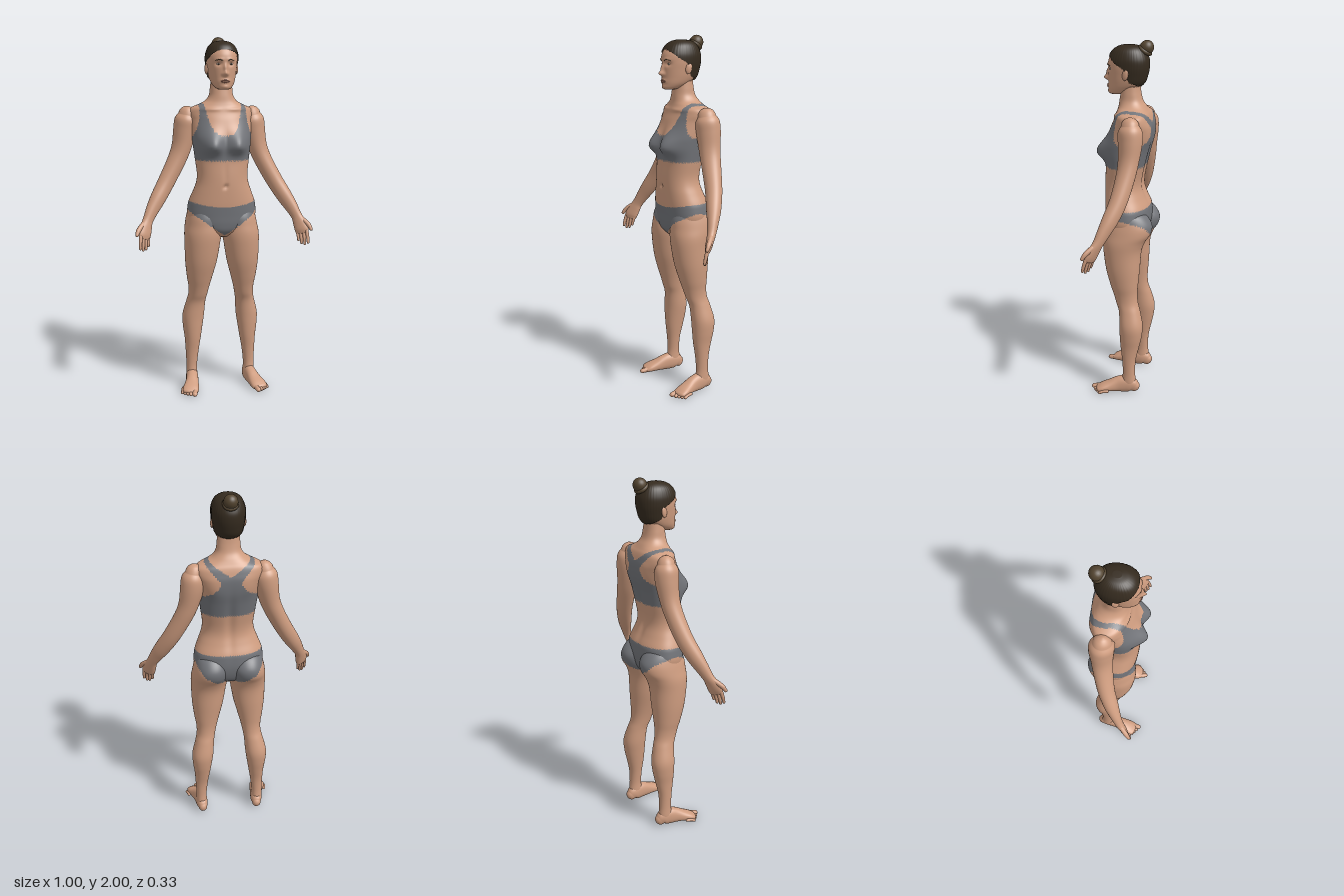
import * as THREE from 'three';

const mat = (name, color) => Object.assign(new THREE.MeshStandardMaterial({ color }), { name });
const V = (x, y, z) => new THREE.Vector3(x, y, z);
const X = V(1, 0, 0), Z = V(0, 0, 1);
const gauss = (x, y, cx, cy, sx, sy) => Math.exp(-(((x - cx) / sx) ** 2) - ((y - cy) / sy) ** 2);
const clamp01 = (v) => Math.min(1, Math.max(0, v));

// Catmull-Rom interpolation of rows of numbers
function smooth(keys, sub) {
  const out = [], last = keys.length - 1;
  for (let i = 0; i < last; i++) {
    const [a, b, c, d] = [keys[Math.max(0, i - 1)], keys[i], keys[i + 1], keys[Math.min(last, i + 2)]];
    for (let k = 0; k < sub; k++) {
      const t = k / sub;
      out.push(b.map((v, j) => v + 0.5 * t * (c[j] - a[j]
        + t * (2 * a[j] - 5 * v + 4 * c[j] - d[j] + t * (3 * (v - c[j]) + d[j] - a[j])))));
    }
  }
  out.push(keys[last]);
  return out;
}

// One superellipse cross-section
function ring(c, s, f, rs, rf, n, segs) {
  const pw = (v) => Math.sign(v) * Math.abs(v) ** (2 / n);
  return Array.from({ length: segs }, (_, i) => {
    const a = (i / segs) * Math.PI * 2;
    return c.clone().addScaledVector(s, rs * pw(Math.cos(a))).addScaledVector(f, rf * pw(Math.sin(a)));
  });
}

// Closed smooth skin over a list of rings
function loft(rings, deform) {
  const n = rings[0].length, pos = [], idx = [];
  const mid = (r) => r.reduce((m, p) => m.add(p), V(0, 0, 0)).divideScalar(n);
  const pts = [...rings.flat(), mid(rings[0]), mid(rings[rings.length - 1])];
  for (const p of pts) { if (deform) deform(p); pos.push(p.x, p.y, p.z); }
  const end = rings.length * n;
  for (let j = 0; j < n; j++) {
    const k = (j + 1) % n;
    for (let i = 0; i < rings.length - 1; i++) {
      const a = i * n + j, b = i * n + k;
      idx.push(a, a + n, b, b, a + n, b + n);
    }
    idx.push(end, j, k, end + 1, end - n + k, end - n + j);
  }
  const g = new THREE.BufferGeometry();
  g.setAttribute('position', new THREE.Float32BufferAttribute(pos, 3));
  g.setIndex(idx);
  g.computeVertexNormals();
  return g;
}

// Upright body section rows: y, centre x, half width, front z, back z
const upright = (keys, sub, n, segs, grow = 0) => smooth(keys, sub).map(([y, x, w, zf, zb]) =>
  ring(V(x, y, (zf + zb) / 2), X, Z, w + grow, (zf - zb) / 2 + grow, n, segs));

// Rounded limb along a path, rows: x, y, z, half width along ref, half thickness
function limb(keys, { sub = 5, ref = X, n = 2, segs = 16, deform } = {}) {
  const rows = smooth(keys, sub), rings = [];
  rows.forEach((r, i) => {
    const a = rows[Math.max(0, i - 1)], b = rows[Math.min(rows.length - 1, i + 1)];
    const t = V(b[0] - a[0], b[1] - a[1], b[2] - a[2]).normalize();
    const s = ref.clone().addScaledVector(t, -t.dot(ref)).normalize();
    const f = s.clone().cross(t), c = V(r[0], r[1], r[2]), tip = Math.min(r[3], r[4]);
    const put = (ang, dir) => rings.push(ring(c.clone().addScaledVector(t, dir * tip * Math.sin(ang)),
      s, f, r[3] * Math.cos(ang), r[4] * Math.cos(ang), n, segs));
    if (i === 0) [1.45, 1.1, 0.75, 0.35].forEach((a) => put(a, -1));
    put(0, 0);
    if (i === rows.length - 1) [0.35, 0.75, 1.1, 1.45].forEach((a) => put(a, 1));
  });
  return loft(rings, deform);
}

// Sort triangles by a rule on their centre: [rest, matching]
function sortFaces(g, rule) {
  const p = g.attributes.position, ix = g.index.array, out = [[], []], c = V(0, 0, 0), q = V(0, 0, 0);
  for (let i = 0; i < ix.length; i += 3) {
    c.set(0, 0, 0);
    for (let k = 0; k < 3; k++) c.add(q.fromBufferAttribute(p, ix[i + k]));
    out[rule(c.divideScalar(3)) ? 1 : 0].push(ix[i], ix[i + 1], ix[i + 2]);
  }
  return out;
}
function paint(g, rule) {
  const [a, b] = sortFaces(g, rule);
  g.setIndex([...a, ...b]);
  g.addGroup(0, a.length, 0);
  g.addGroup(a.length, b.length, 1);
  return g;
}
function mirrored(g) {
  const m = g.clone().scale(-1, 1, 1), ix = m.index.array;
  for (let i = 0; i < ix.length; i += 3) [ix[i], ix[i + 1]] = [ix[i + 1], ix[i]];
  m.computeVertexNormals();
  return m;
}

// Sports top with racer back, and briefs
function isCloth({ x, y, z }) {
  const ax = Math.abs(x);
  if (y > 1.325 && y < 1.65) {
    if (z > -0.045) return y < 1.465 + 0.17 * (ax / 0.105) ** 3.5
      && ax < (y < 1.45 ? 1 : 0.13 + 0.04 * clamp01((1.6 - y) / 0.15) ** 2);
    const outer = y < 1.54 ? 0.055 + 10 * (1.54 - y) ** 2 : 0.055 + (y - 1.54) * 0.9;
    return y < 1.42 || (ax < outer && ax > (y - 1.565) * 1.5);
  }
  if (z > -0.02) return y < 1.07 + 0.8 * ax * ax && y > 0.905 + 0.72 * ax;
  return y < 1.098 && y > 0.915 + 3.4 * ax * ax;
}

function shapeTorso(p) {
  const { x, y } = p, ax = Math.abs(x);
  if (p.z > 0) {
    p.z += 0.055 * gauss(ax, y, 0.072, 1.405, 0.056, y < 1.405 ? 0.042 : 0.07);
    p.z -= 0.014 * gauss(x, y, 0, 1.185, 0.01, 0.011) + 0.003 * gauss(x, y, 0, 1.25, 0.012, 0.07);
    p.z += 0.006 * gauss(ax, y, 0.07, 1.605, 0.05, 0.01);
  } else {
    p.z += 0.01 * gauss(x, y, 0, 1.28, 0.024, 0.17);
    p.z -= 0.006 * gauss(ax, y, 0.09, 1.5, 0.04, 0.06);
  }
  p.z -= 0.65 * x * x * clamp01((y - 1.45) / 0.1);
}

function shapeFace(p) {
  if (p.z < 0.02) return;
  const { x, y } = p, ax = Math.abs(x);
  p.z += 0.025 * gauss(x, y, 0, 1.798, 0.012, 0.013) + 0.014 * gauss(x, y, 0, 1.825, 0.009, 0.024)
    + 0.006 * gauss(ax, y, 0.014, 1.795, 0.007, 0.008) + 0.008 * gauss(x, y, 0, 1.757, 0.022, 0.011)
    + 0.006 * gauss(x, y, 0, 1.727, 0.022, 0.013) + 0.005 * gauss(ax, y, 0.03, 1.872, 0.026, 0.01)
    - 0.011 * gauss(ax, y, 0.034, 1.85, 0.017, 0.012);
}

// Hairline height falls from forehead to temple, ear and nape
function isHair({ y, z }) {
  if (z > 0.05) return y > 1.885 + (z - 0.05);
  if (z > -0.01) return y > 1.85 + (z + 0.01) * 0.58;
  if (z > -0.03) return y > 1.785 + (z + 0.03) * 3.25;
  return y > 1.755 + Math.max(0, z + 0.09) * 0.5;
}

export function createModel() {
  const root = new THREE.Group();
  root.name = 'woman';
  const skin = mat('skin', 0xcf9d80), cloth = mat('grey cloth', 0x73757a), hair = mat('dark hair', 0x352b1f);
  const bunHair = mat('bun hair', 0x52432f), white = mat('eye white', 0xd8c8bc), lip = mat('lips', 0xb57c68);
  const add = (name, g, m) => {
    const mesh = new THREE.Mesh(g, m);
    mesh.name = name;
    root.add(mesh);
    return mesh;
  };
  const pair = (name, g, m) => { add(name + 'Left', g, m); add(name + 'Right', mirrored(g), m); };

  // Torso and neck
  const torso = [
    [0.89, 0.03, 0.03, -0.04], [0.9, 0.055, 0.06, -0.07], [0.93, 0.12, 0.09, -0.11], [0.97, 0.178, 0.1, -0.13],
    [1.02, 0.195, 0.104, -0.14], [1.07, 0.192, 0.108, -0.14], [1.1, 0.185, 0.11, -0.135],
    [1.15, 0.165, 0.112, -0.114], [1.2, 0.147, 0.113, -0.099], [1.25, 0.142, 0.112, -0.099],
    [1.32, 0.15, 0.108, -0.112], [1.4, 0.16, 0.105, -0.13], [1.47, 0.168, 0.098, -0.146],
    [1.54, 0.175, 0.078, -0.15], [1.58, 0.182, 0.062, -0.142], [1.61, 0.172, 0.052, -0.132],
    [1.63, 0.128, 0.045, -0.12], [1.65, 0.09, 0.04, -0.108], [1.68, 0.068, 0.036, -0.09],
    [1.72, 0.062, 0.03, -0.08], [1.76, 0.058, 0.025, -0.075],
  ].map(([y, ...r]) => [y, 0, ...r]);
  add('torso', paint(loft(upright(torso, 6, 2.25, 112), shapeTorso), isCloth), [skin, cloth]);

  // Legs with hips
  const leg = [
    [1.09, 0.1, 0.05, 0.03, -0.09], [1.06, 0.1, 0.08, 0.07, -0.135], [1.01, 0.1, 0.096, 0.094, -0.168],
    [0.96, 0.104, 0.102, 0.1, -0.163], [0.91, 0.108, 0.105, 0.104, -0.132], [0.85, 0.113, 0.1, 0.1, -0.112],
    [0.75, 0.12, 0.09, 0.085, -0.105], [0.66, 0.127, 0.073, 0.06, -0.098], [0.6, 0.13, 0.06, 0.04, -0.095],
    [0.55, 0.135, 0.054, 0.024, -0.1], [0.5, 0.145, 0.055, 0.006, -0.115], [0.42, 0.158, 0.062, 0, -0.133],
    [0.35, 0.162, 0.056, -0.003, -0.128], [0.28, 0.163, 0.046, -0.008, -0.113], [0.2, 0.167, 0.037, -0.018, -0.096],
    [0.12, 0.17, 0.031, -0.022, -0.093], [0.06, 0.17, 0.032, -0.015, -0.098], [0.03, 0.17, 0.026, -0.02, -0.09],
  ].reverse();
  pair('leg', paint(loft(upright(leg, 5, 2.1, 56)), isCloth), [skin, cloth]);

  // Feet and toes, flat on the ground
  const flat = (p) => { p.y = Math.max(0, p.y); };
  pair('foot', limb([
    [0.166, 0.033, -0.092, 0.026, 0.032], [0.168, 0.045, -0.07, 0.033, 0.045], [0.172, 0.047, -0.03, 0.035, 0.05],
    [0.178, 0.041, 0.01, 0.036, 0.044], [0.187, 0.032, 0.05, 0.041, 0.033], [0.198, 0.023, 0.09, 0.046, 0.024],
    [0.204, 0.017, 0.113, 0.043, 0.017],
  ], { n: 2.3, segs: 28, deform: flat }), skin);
  [0.175, 0.196, 0.211, 0.225, 0.238].forEach((x, i) => {
    const r = i ? 0.0105 - i * 0.0005 : 0.0145, z = 0.15 - i * 0.0125;
    pair('toe' + (i + 1), limb([[x, 0.017, z - 0.045, r, r], [x + 0.006, 0.015, z - 0.02, r, r],
      [x + 0.01, r * 0.85, z, r, r * 0.9]], { segs: 12, sub: 3, deform: flat }), skin);
  });

  // Arms with palms
  const across = V(0.82, 0, 0.57);
  pair('arm', limb([
    [0.186, 1.576, -0.066, 0.046, 0.05], [0.191, 1.545, -0.068, 0.062, 0.066], [0.199, 1.49, -0.07, 0.062, 0.066],
    [0.218, 1.4, -0.066, 0.053, 0.058], [0.249, 1.32, -0.058, 0.049, 0.053], [0.312, 1.2, -0.035, 0.047, 0.046],
    [0.365, 1.11, -0.003, 0.044, 0.04], [0.4, 1.05, 0.023, 0.037, 0.031], [0.425, 1.0, 0.045, 0.031, 0.024],
    [0.437, 0.965, 0.062, 0.037, 0.021], [0.446, 0.93, 0.078, 0.04, 0.018], [0.449, 0.912, 0.084, 0.037, 0.014],
  ], { ref: across, segs: 36, n: 2.1 }), skin);

  // Fingers from little finger to index, then thumb
  [0.05, 0.064, 0.068, 0.058].forEach((len, i) => {
    const o = -0.029 + i * 0.0193, x = 0.447 + 0.82 * o, z = 0.083 + 0.57 * o, r = i ? 0.0095 : 0.008;
    pair('finger' + (i + 1), limb([[x, 0.92, z, r * 1.1, r * 1.1],
      [x + 0.003, 0.915 - len * 0.5, z + 0.011, r, r],
      [x + 0.004, 0.915 - len, z + 0.018, r * 0.8, r * 0.8]], { ref: across, segs: 12, sub: 4 }), skin);
  });
  pair('thumb', limb([[0.452, 0.985, 0.066, 0.014, 0.014], [0.481, 0.956, 0.097, 0.013, 0.013],
    [0.492, 0.932, 0.113, 0.0095, 0.0095]], { ref: across, segs: 12 }), skin);

  // Head with face
  const headKeys = [
    [1.712, 0.02, 0.082, 0.03], [1.72, 0.04, 0.094, 0], [1.745, 0.06, 0.097, -0.055], [1.78, 0.072, 0.097, -0.096],
    [1.82, 0.079, 0.098, -0.112], [1.86, 0.084, 0.098, -0.12], [1.9, 0.083, 0.094, -0.118],
    [1.94, 0.068, 0.07, -0.098], [1.962, 0.042, 0.036, -0.07], [1.97, 0.012, 0, -0.03],
  ].map(([y, ...r]) => [y, 0, ...r]);
  const head = loft(upright(headKeys, 8, 2.15, 120), shapeFace);
  add('head', head, skin);
  const faceZ = (x, y) => {
    const p = head.attributes.position;
    let best = 1, z = 0;
    for (let i = 0; i < p.count; i++) {
      const d = Math.hypot(p.getX(i) - x, p.getY(i) - y);
      if (p.getZ(i) > 0 && d < best) { best = d; z = p.getZ(i); }
    }
    return z;
  };
  const strip = (pts, r) => limb(pts.map(([x, y]) => [x, y, faceZ(x, y), r, r]), { ref: V(0, 1, 0), segs: 8, sub: 4 });
  const ball = (x, y, z, a, b, c) => new THREE.SphereGeometry(1, 24, 16).scale(a, b, c).translate(x, y, z);
  const ez = faceZ(0.034, 1.85);
  pair('eye', ball(0.034, 1.849, ez, 0.011, 0.005, 0.004), white);
  pair('iris', ball(0.034, 1.849, ez + 0.002, 0.0045, 0.0045, 0.003), hair);
  pair('eyebrow', strip([[0.017, 1.868], [0.033, 1.873], [0.051, 1.867]], 0.0022), bunHair);
  add('upperLip', strip([[-0.022, 1.757], [-0.008, 1.762], [0.008, 1.762], [0.022, 1.757]], 0.0033), lip);
  add('lowerLip', strip([[-0.018, 1.755], [0, 1.752], [0.018, 1.755]], 0.0036), lip);
  pair('ear', ball(0, 0, 0, 0.009, 0.03, 0.018).rotateY(-0.3).rotateX(-0.15).translate(0.084, 1.825, -0.014), skin);

  // Combed hair with fine strands, and bun
  const cap = loft(upright(headKeys, 8, 2.15, 120, 0.006), (p) => {
    const k = 1 + 0.012 * Math.sin(40 * Math.atan2(p.x, p.z + 0.02));
    p.x *= k;
    p.y += (p.y - 1.85) * 0.05;
  });
  cap.setIndex(sortFaces(cap, isHair)[1]);
  hair.side = THREE.DoubleSide;
  add('hair', cap, hair);
  add('bun', ball(0, 0, 0, 0.038, 0.04, 0.038).rotateX(-0.6).translate(0, 1.961, -0.11), bunHair);
  add('bunWrap', new THREE.TorusGeometry(0.031, 0.012, 10, 32).rotateX(Math.PI / 2 - 0.6)
    .translate(0, 1.947, -0.101), bunHair);
  return root;
}
